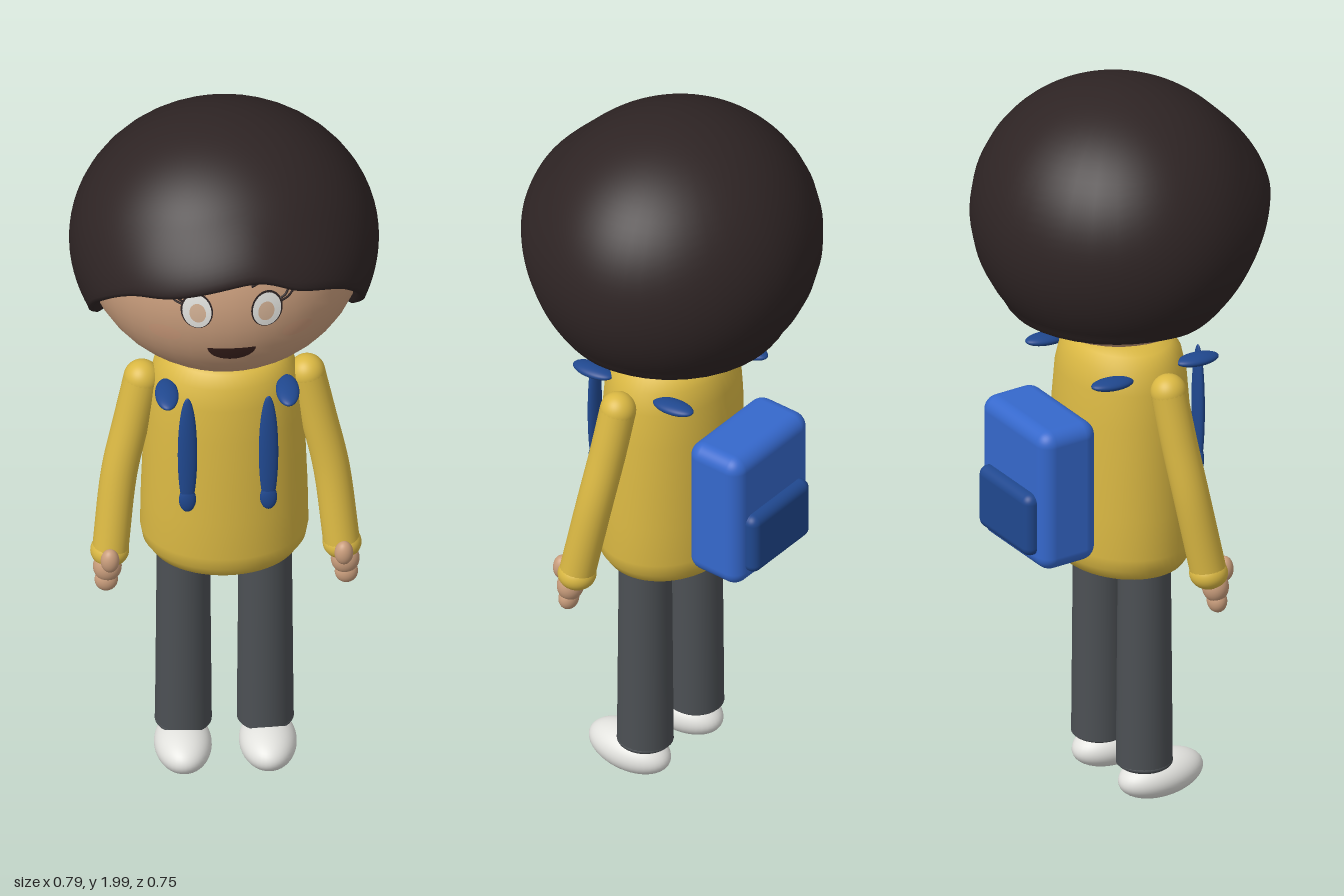
import * as THREE from 'three';
import { mergeVertices } from 'three/addons/utils/BufferGeometryUtils.js';
import { RoundedBoxGeometry } from 'three/addons/geometries/RoundedBoxGeometry.js';

const mat = (name, color, side = THREE.FrontSide) => {
  const m = new THREE.MeshStandardMaterial({ color, side });
  m.name = name;
  return m;
};
const M = {
  hair: mat('dark hair', 0x2e2424, THREE.DoubleSide),
  skin: mat('skin', 0xc99d7c),
  blush: mat('blush', 0xcb9a7a),
  yellow: mat('yellow jumper', 0xdab843),
  grey: mat('grey trousers', 0x4c5054),
  white: mat('white', 0xe2e2de),
  blue: mat('bag blue', 0x3568cc),
  navy: mat('strap blue', 0x20488f),
  iris: mat('iris', 0xd2b094),
  mouth: mat('mouth', 0x38201c),
};

const V = (x, y, z) => new THREE.Vector3(x, y, z);
const HEAD = { y: 1.64, a: 0.365, b: 0.34, c: 0.36 };

// Height of the face surface above the z = 0 plane
const faceZ = (x, y) =>
  HEAD.c * Math.sqrt(Math.max(0, 1 - (x / HEAD.a) ** 2 - ((y - HEAD.y) / HEAD.b) ** 2));

export function createModel() {
  const root = new THREE.Group();
  root.name = 'child with backpack';

  const add = (name, geometry, material) => {
    const mesh = new THREE.Mesh(geometry, material);
    mesh.name = name;
    root.add(mesh);
    return mesh;
  };
  const blob = (name, material, [x, y, z], [rx, ry, rz]) => {
    const mesh = add(name, new THREE.SphereGeometry(1, 40, 28), material);
    mesh.position.set(x, y, z);
    mesh.scale.set(rx, ry, rz);
    return mesh;
  };
  // Thin elliptical patch that follows the face
  const patch = (name, material, x, y, rx, ry, lift, start = 0, length = Math.PI * 2) => {
    const g = new THREE.RingGeometry(0, 1, 40, 6, start, length);
    const p = g.attributes.position;
    for (let i = 0; i < p.count; i++) {
      const px = x + p.getX(i) * rx, py = y + p.getY(i) * ry;
      p.setXYZ(i, px, py, faceZ(px, py) + lift);
    }
    g.computeVertexNormals();
    return add(name, g, material);
  };
  // Thin hair line drawn on the face
  const line = (name, points, r) => {
    const curve = new THREE.CatmullRomCurve3(points.map(([x, y]) => V(x, y, faceZ(x, y) + 0.004)));
    return add(name, new THREE.TubeGeometry(curve, 10, r, 6), M.hair);
  };

  // Head and bowl-cut hair
  blob('head', M.skin, [0, HEAD.y, 0], [HEAD.a, HEAD.b, HEAD.c]);
  add('hair', hairGeometry(), M.hair);

  // Face
  patch('mouth', M.mouth, 0, 1.543, 0.062, 0.048, 0.004, Math.PI, Math.PI);
  for (const s of [-1, 1]) {
    patch('eyeRim', M.hair, s * 0.09, 1.667, 0.041, 0.053, 0.003);
    patch('eyeWhite', M.white, s * 0.09, 1.667, 0.037, 0.049, 0.006);
    patch('iris', M.iris, s * 0.088, 1.665, 0.021, 0.028, 0.009);
    patch('cheek', M.blush, s * 0.17, 1.577, 0.04, 0.025, 0.003);
    line('eyebrow', [[s * 0.05, 1.738], [s * 0.09, 1.75], [s * 0.135, 1.735]], 0.006);
    line('upperLash', [[s * 0.125, 1.69], [s * 0.14, 1.7], [s * 0.148, 1.72]], 0.003);
    line('lowerLash', [[s * 0.128, 1.683], [s * 0.145, 1.69], [s * 0.158, 1.703]], 0.003);
  }

  // Jumper body
  const profile = [[0, 0.66], [0.15, 0.662], [0.19, 0.675], [0.21, 0.705], [0.216, 0.74], [0.214, 0.85],
    [0.209, 0.98], [0.202, 1.1], [0.193, 1.2], [0.178, 1.26], [0.15, 1.292], [0.11, 1.305], [0, 1.308]];
  const torso = add('jumperBody',
    new THREE.LatheGeometry(profile.map(([x, y]) => new THREE.Vector2(x, y)), 56), M.yellow);
  torso.scale.z = 0.82;
  torso.position.z = 0.009;

  for (const s of [-1, 1]) {
    // Sleeve
    const arm = new THREE.CatmullRomCurve3([V(s * 0.212, 1.21, 0.018), V(s * 0.24, 1.08, 0.03),
      V(s * 0.272, 0.93, 0.048), V(s * 0.297, 0.71, 0.085)]);
    add('sleeve', new THREE.TubeGeometry(arm, 24, 0.047, 24), M.yellow);
    blob('shoulder', M.yellow, [s * 0.212, 1.21, 0.018], [0.047, 0.048, 0.047]);
    blob('cuff', M.yellow, [s * 0.298, 0.71, 0.084], [0.05, 0.042, 0.05]);

    // Hand
    blob('palm', M.skin, [s * 0.305, 0.67, 0.1], [0.037, 0.042, 0.034]);
    blob('fingers', M.skin, [s * 0.308, 0.63, 0.103], [0.03, 0.032, 0.025]);
    blob('thumb', M.skin, [s * 0.3, 0.71, 0.132], [0.024, 0.034, 0.022]);

    // Trouser leg and shoe
    const leg = add('trouserLeg', new THREE.CylinderGeometry(0.068, 0.073, 0.59, 32), M.grey);
    leg.position.set(s * 0.105, 0.405, 0.013);
    blob('trouserHem', M.grey, [s * 0.106, 0.113, 0.013], [0.073, 0.022, 0.073]);
    const shoe = blob('shoe', M.white, [s * 0.109, 0.065, 0.06], [0.074, 0.058, 0.121]);
    shoe.rotation.x = -0.06;

    // Backpack strap pieces
    blob('frontStrap', M.navy, [s * 0.104, 1.077, 0.178], [0.025, 0.18, 0.013]);
    blob('strapEnd', M.navy, [s * 0.104, 0.933, 0.178], [0.022, 0.038, 0.012]);
    for (const [z, tilt] of [[0.143, 0.05], [-0.117, 0.08]]) {
      const piece = blob('shoulderStrap', M.navy, [s * 0.155, 1.246, z], [0.03, 0.015, 0.062]);
      piece.rotation.x = tilt;
    }
  }

  // Backpack
  const bag = add('backpack', new RoundedBoxGeometry(0.31, 0.395, 0.17, 5, 0.04), M.blue);
  bag.position.set(0, 0.948, -0.24);
  const pocket = add('backpackPocket', new RoundedBoxGeometry(0.24, 0.175, 0.07, 5, 0.025), M.navy);
  pocket.position.set(0, 0.878, -0.32);

  return root;
}

// Ellipsoid shell cut along an uneven hairline, with a rounded rim turned inwards
function hairGeometry() {
  const side = [[1, 1.61], [1.26, 1.515], [1.5, 1.447], [1.9, 1.435], [Math.PI, 1.412]];
  const hairline = new THREE.SplineCurve([
    ...side.map(([f, y]) => [-f, y]).reverse(),
    [-0.7, 1.69], [-0.4, 1.72], [0.13, 1.768], [0.45, 1.725], [0.75, 1.68],
    ...side,
  ].map(([f, y]) => new THREE.Vector2(f, y)));
  // Rim rows: [scale, height offset]
  const rim = [[0.99, -0.012], [0.96, -0.016], [0.93, -0.01], [0.88, 0.01]];
  const cols = 112, outer = 30, rows = outer + rim.length;
  const g = new THREE.PlaneGeometry(1, 1, cols, rows);
  const p = g.attributes.position;
  for (let r = 0; r <= rows; r++) {
    for (let c = 0; c <= cols; c++) {
      const { x: phi, y: edge } = hairline.getPoint(c / cols);
      const t = Math.min(1, r / outer);
      const theta = t * Math.acos((edge - 1.64) / 0.36);
      // The fringe flares slightly at the front
      const front = Math.max(0, Math.cos(phi)) ** 2;
      const flare = 1 + 0.07 * front * THREE.MathUtils.smoothstep(t, 0.65, 1);
      const [k, dy] = r > outer ? rim[r - outer - 1] : [1, 0];
      const ring = Math.sin(theta) * flare * k;
      p.setXYZ(r * (cols + 1) + c, 0.397 * ring * Math.sin(phi),
        1.64 + 0.36 * Math.cos(theta) + dy, 0.372 * ring * Math.cos(phi));
    }
  }
  g.deleteAttribute('uv');
  g.deleteAttribute('normal');
  const merged = mergeVertices(g, 1e-5);
  merged.computeVertexNormals();
  return merged;
}
